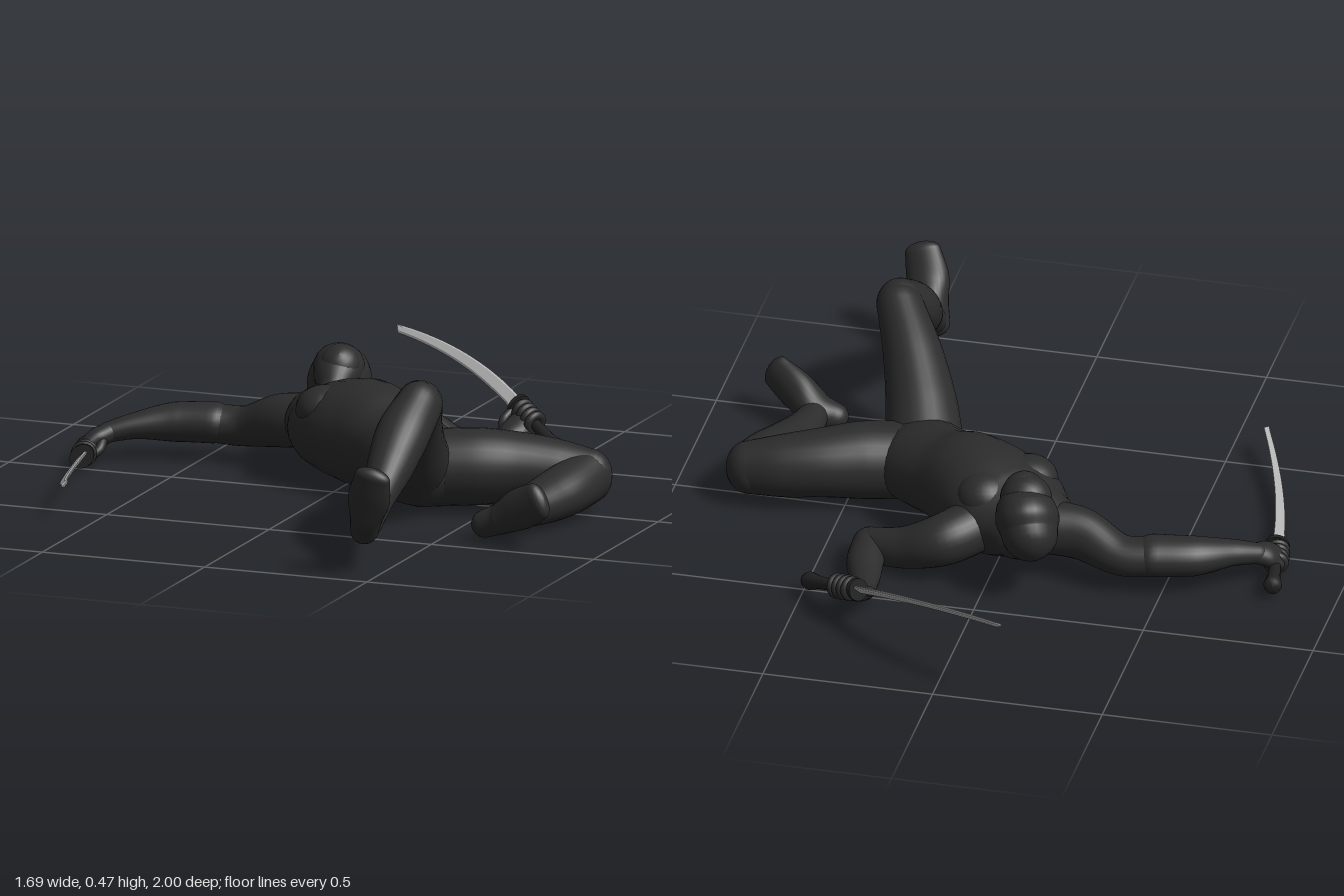
import * as THREE from 'three';

const suit = new THREE.MeshStandardMaterial({ color: 0x2c2c2c });
suit.name = 'charcoal suit';
const hilt = new THREE.MeshStandardMaterial({ color: 0x222222 });
hilt.name = 'black hilt';
const steel = new THREE.MeshStandardMaterial({ color: 0xb6b6b6 });
steel.name = 'steel';

const V = (x, y, z) => new THREE.Vector3(x, y, z);

// Smooth body part: elliptical sections [x, y, z, a, b] with rounded ends.
// Radius a lies along the side vector, b across it.
function loft(name, side, pts, parent, seg = 28) {
  const path = new THREE.CatmullRomCurve3(pts.map(p => V(p[0], p[1], p[2])));
  const radii = new THREE.CatmullRomCurve3(pts.map(p => V(p[3], p[4], 0)));
  const ref = V(...side), rings = [], steps = pts.length * 6, cap = 6;
  const ring = (t, shift, scale) => {
    const tan = path.getTangent(t), r = radii.getPoint(t);
    const u = ref.clone().addScaledVector(tan, -ref.dot(tan)).normalize();
    const v = tan.clone().cross(u);
    const c = path.getPoint(t).addScaledVector(tan, shift * Math.min(r.x, r.y));
    rings.push({ c, u: u.multiplyScalar(r.x * scale), v: v.multiplyScalar(r.y * scale) });
  };
  for (let i = 0; i < cap; i++) {
    const a = (i / cap) * Math.PI / 2;
    ring(0, -Math.cos(a), Math.sin(a));
  }
  for (let i = 0; i <= steps; i++) ring(i / steps, 0, 1);
  for (let i = cap - 1; i >= 0; i--) {
    const a = (i / cap) * Math.PI / 2;
    ring(1, Math.cos(a), Math.sin(a));
  }
  const pos = [], idx = [];
  rings.forEach(({ c, u, v }, i) => {
    for (let j = 0; j < seg; j++) {
      const a = (j / seg) * Math.PI * 2;
      const p = c.clone().addScaledVector(u, Math.cos(a)).addScaledVector(v, Math.sin(a));
      pos.push(p.x, p.y, p.z);
      if (i === rings.length - 1) continue;
      const k = i * seg + j, n = i * seg + (j + 1) % seg;
      idx.push(k, n, k + seg, n, n + seg, k + seg);
    }
  });
  const geo = new THREE.BufferGeometry();
  geo.setAttribute('position', new THREE.Float32BufferAttribute(pos, 3));
  geo.setIndex(idx);
  geo.computeVertexNormals();
  const mesh = new THREE.Mesh(geo, suit);
  mesh.name = name;
  parent.add(mesh);
}

function add(parent, name, geo, mat, x, y, z) {
  const m = new THREE.Mesh(geo, mat);
  m.name = name;
  m.position.set(x, y, z);
  parent.add(m);
  return m;
}

// Curved sword: blade runs along local +y and bows towards local +x
function sword(name, guard, tip, bow) {
  const g = new THREE.Group();
  g.name = name;
  const d = tip.clone().sub(guard), len = d.length();
  d.normalize();
  const x = bow.clone().addScaledVector(d, -bow.dot(d)).normalize();
  g.applyMatrix4(new THREE.Matrix4().makeBasis(x, d, x.clone().cross(d)));
  g.position.copy(guard);

  const s = new THREE.Shape();
  s.moveTo(0.021, 0);
  s.quadraticCurveTo(0.078, len * 0.5, 0.004, len);
  s.lineTo(-0.016, len * 0.955);
  s.quadraticCurveTo(0.036, len * 0.5, -0.021, 0);
  const blade = new THREE.ExtrudeGeometry(s, {
    depth: 0.002, bevelEnabled: true, bevelThickness: 0.004, bevelSize: 0.006,
    bevelOffset: -0.006, bevelSegments: 1, curveSegments: 20,
  });
  add(g, 'blade', blade, steel, 0, 0, -0.001);
  add(g, 'guard', new THREE.CylinderGeometry(0.038, 0.038, 0.013, 24), hilt, 0, 0, 0).scale.z = 0.85;

  // Handle swelling out to the pommel
  const profile = [[0, -0.25], [0.022, -0.25], [0.027, -0.235], [0.019, -0.19], [0.016, -0.1], [0.018, 0]]
    .map(p => new THREE.Vector2(...p));
  add(g, 'handle', new THREE.LatheGeometry(profile, 16), hilt, 0, 0, 0).rotation.z = -0.16;

  // Fingers closed around the handle
  for (let i = 0; i < 4; i++) {
    const f = add(g, 'finger', new THREE.TorusGeometry(0.025, 0.0125, 10, 24), suit,
      -0.004 - i * 0.0035, -0.028 - i * 0.023, 0);
    f.rotation.x = Math.PI / 2 + (i - 1.5) * 0.06;
  }
  return g;
}

export function createModel() {
  const model = new THREE.Group();
  model.name = 'swordFighter';
  const X = [1, 0, 0], Z = [0, 0, 1], across = [0.65, 0, -0.76];
  const part = (name, side, pts) => loft(name, side, pts, model);

  // Torso and chest
  part('torso', across, [
    [-0.10, 0.168, -0.235, 0.14, 0.105], [-0.04, 0.167, -0.18, 0.172, 0.135],
    [0.04, 0.17, -0.12, 0.17, 0.152], [0.12, 0.17, -0.06, 0.15, 0.152],
    [0.20, 0.16, 0.0, 0.138, 0.128], [0.28, 0.147, 0.07, 0.145, 0.122],
    [0.33, 0.135, 0.115, 0.125, 0.11]]);
  for (const s of [-1, 1]) {
    const pec = add(model, 'chestMuscle', new THREE.SphereGeometry(1, 24, 16), suit,
      -0.015 + s * 0.05, 0.23, -0.155 - s * 0.058);
    pec.scale.set(0.085, 0.07, 0.085);
  }

  // Neck, hooded head and face tucked towards the chest
  part('neck', across, [
    [-0.06, 0.18, -0.20, 0.10, 0.08], [-0.09, 0.205, -0.26, 0.07, 0.065], [-0.12, 0.23, -0.34, 0.062, 0.065]]);
  part('head', X, [
    [-0.137, 0.222, -0.385, 0.082, 0.092], [-0.125, 0.25, -0.36, 0.092, 0.108],
    [-0.112, 0.28, -0.332, 0.084, 0.096], [-0.103, 0.308, -0.308, 0.062, 0.066]]);
  part('face', X, [
    [-0.112, 0.30, -0.325, 0.075, 0.07], [-0.105, 0.278, -0.285, 0.066, 0.062], [-0.097, 0.25, -0.245, 0.045, 0.045]]);

  // Right arm, stretched out
  part('rightUpperArm', Z, [
    [-0.14, 0.16, -0.23, 0.08, 0.08], [-0.25, 0.15, -0.232, 0.068, 0.078],
    [-0.38, 0.115, -0.267, 0.064, 0.058], [-0.49, 0.12, -0.255, 0.064, 0.056]]);
  part('rightForearm', Z, [
    [-0.47, 0.12, -0.256, 0.07, 0.06], [-0.58, 0.118, -0.228, 0.064, 0.057],
    [-0.68, 0.11, -0.17, 0.043, 0.038], [-0.745, 0.095, -0.13, 0.032, 0.03]]);
  part('rightHand', Z, [
    [-0.74, 0.096, -0.133, 0.033, 0.028], [-0.77, 0.08, -0.105, 0.044, 0.03], [-0.79, 0.06, -0.085, 0.044, 0.028]]);
  part('rightThumb', Z, [
    [-0.75, 0.085, -0.10, 0.016, 0.016], [-0.745, 0.06, -0.06, 0.014, 0.014], [-0.765, 0.04, -0.035, 0.011, 0.011]]);

  // Left arm, bent at the elbow
  part('leftUpperArm', Z, [
    [0.05, 0.15, -0.25, 0.08, 0.08], [0.13, 0.13, -0.323, 0.077, 0.076],
    [0.24, 0.09, -0.325, 0.06, 0.062], [0.35, 0.067, -0.298, 0.05, 0.053]]);
  part('leftForearm', X, [
    [0.355, 0.066, -0.295, 0.052, 0.053], [0.348, 0.063, -0.38, 0.054, 0.047],
    [0.328, 0.06, -0.47, 0.045, 0.037], [0.31, 0.068, -0.56, 0.033, 0.029]]);
  part('leftHand', X, [
    [0.31, 0.07, -0.56, 0.034, 0.028], [0.32, 0.088, -0.60, 0.045, 0.03], [0.335, 0.108, -0.635, 0.045, 0.028]]);
  part('leftThumb', X, [
    [0.29, 0.085, -0.595, 0.016, 0.016], [0.275, 0.11, -0.63, 0.014, 0.014], [0.285, 0.13, -0.655, 0.011, 0.011]]);

  // Right leg, knee raised
  part('rightThigh', X, [
    [0.30, 0.15, 0.14, 0.115, 0.115], [0.335, 0.225, 0.25, 0.104, 0.113],
    [0.39, 0.325, 0.37, 0.086, 0.095], [0.452, 0.413, 0.475, 0.068, 0.074]]);
  part('rightShin', X, [
    [0.457, 0.415, 0.485, 0.066, 0.074], [0.445, 0.352, 0.58, 0.078, 0.076],
    [0.445, 0.278, 0.68, 0.068, 0.068], [0.45, 0.195, 0.80, 0.044, 0.046], [0.45, 0.15, 0.865, 0.04, 0.042]]);
  part('rightFoot', X, [
    [0.445, 0.135, 0.88, 0.041, 0.042], [0.46, 0.18, 0.90, 0.047, 0.058],
    [0.483, 0.245, 0.94, 0.062, 0.04], [0.505, 0.314, 0.968, 0.053, 0.027]]);

  // Left leg, folded outwards
  part('leftThigh', Z, [
    [0.35, 0.135, 0.085, 0.115, 0.112], [0.46, 0.14, 0.05, 0.112, 0.112],
    [0.57, 0.14, 0.008, 0.1, 0.1], [0.68, 0.13, -0.02, 0.086, 0.092], [0.775, 0.12, -0.034, 0.066, 0.08]]);
  part('leftShin', X, [
    [0.772, 0.118, -0.03, 0.07, 0.078], [0.742, 0.1, 0.08, 0.083, 0.074],
    [0.715, 0.087, 0.18, 0.075, 0.064], [0.69, 0.08, 0.30, 0.053, 0.048], [0.68, 0.08, 0.38, 0.042, 0.042]]);
  part('leftFoot', [-0.3, 1, 0], [
    [0.628, 0.064, 0.405, 0.04, 0.04], [0.68, 0.085, 0.40, 0.047, 0.056],
    [0.745, 0.122, 0.427, 0.06, 0.045], [0.812, 0.158, 0.458, 0.055, 0.028]]);

  // Swords with gripping fingers
  model.add(sword('rightSword', V(-0.775, 0.05, 0), V(-0.605, 0.105, 0.575), V(-0.65, -0.72, 0.26)));
  model.add(sword('leftSword', V(0.30, 0.14, -0.68), V(-0.205, 0.265, -1.0), V(0.51, 0.68, -0.52)));
  return model;
}
